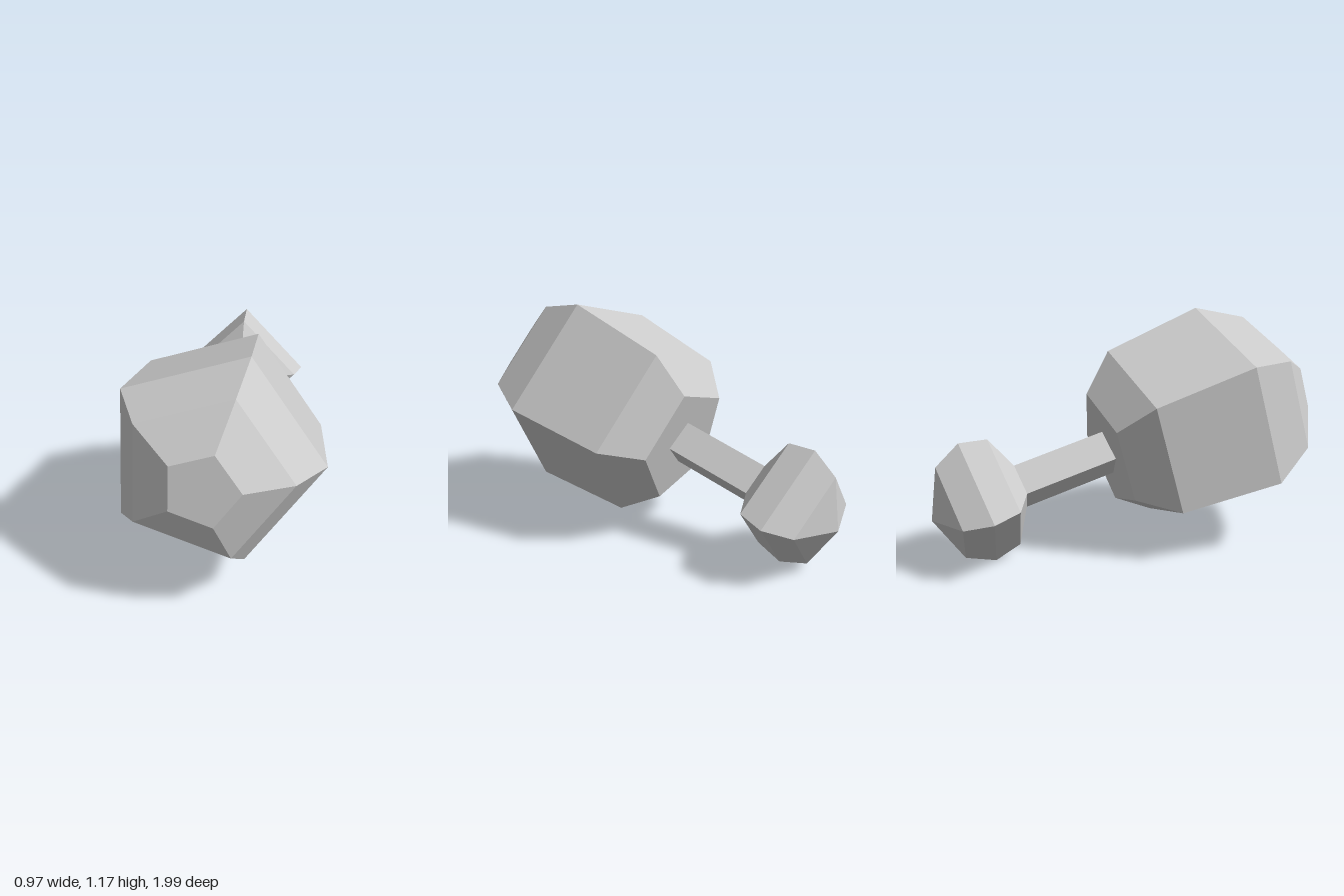
import * as THREE from 'three';

// Faceted solid of revolution along +z; rings are [radius, z] from back to front, first corner on +x
function facetedTurn(name, rings, sides, material) {
  const points = rings.map(([r, z]) => new THREE.Vector2(r, z));
  const geometry = new THREE.LatheGeometry(points, sides, Math.PI / 2)
    .rotateX(Math.PI / 2)
    .toNonIndexed();
  geometry.computeVertexNormals();
  const mesh = new THREE.Mesh(geometry, material);
  mesh.name = name;
  return mesh;
}

export function createModel() {
  const grey = new THREE.MeshStandardMaterial({ color: 0xcccccc, flatShading: true });
  grey.name = 'light grey';

  const model = new THREE.Group();
  model.name = 'mallet';

  // Five-sided head with flat ends
  model.add(facetedTurn('head', [
    [0, -0.09], [0.315, -0.09], [0.481, 0.092], [0.536, 0.616],
    [0.407, 0.849], [0.1824, 0.983], [0, 0.983],
  ], 5, grey));

  // Square shaft between head and pommel
  model.add(facetedTurn('shaft', [[0.116, -0.569], [0.116, -0.09]], 4, grey));

  // Four-sided pommel with a pointed back
  model.add(facetedTurn('pommel', [
    [0, -1.035], [0.253, -0.937], [0.328, -0.797],
    [0.295, -0.657], [0.116, -0.569], [0, -0.569],
  ], 4, grey));

  // Rests tilted, with the head raised at the front
  model.rotation.x = -Math.PI / 12;
  model.position.set(-0.053, 0.53, 0);

  const root = new THREE.Group();
  root.add(model);
  return root;
}
